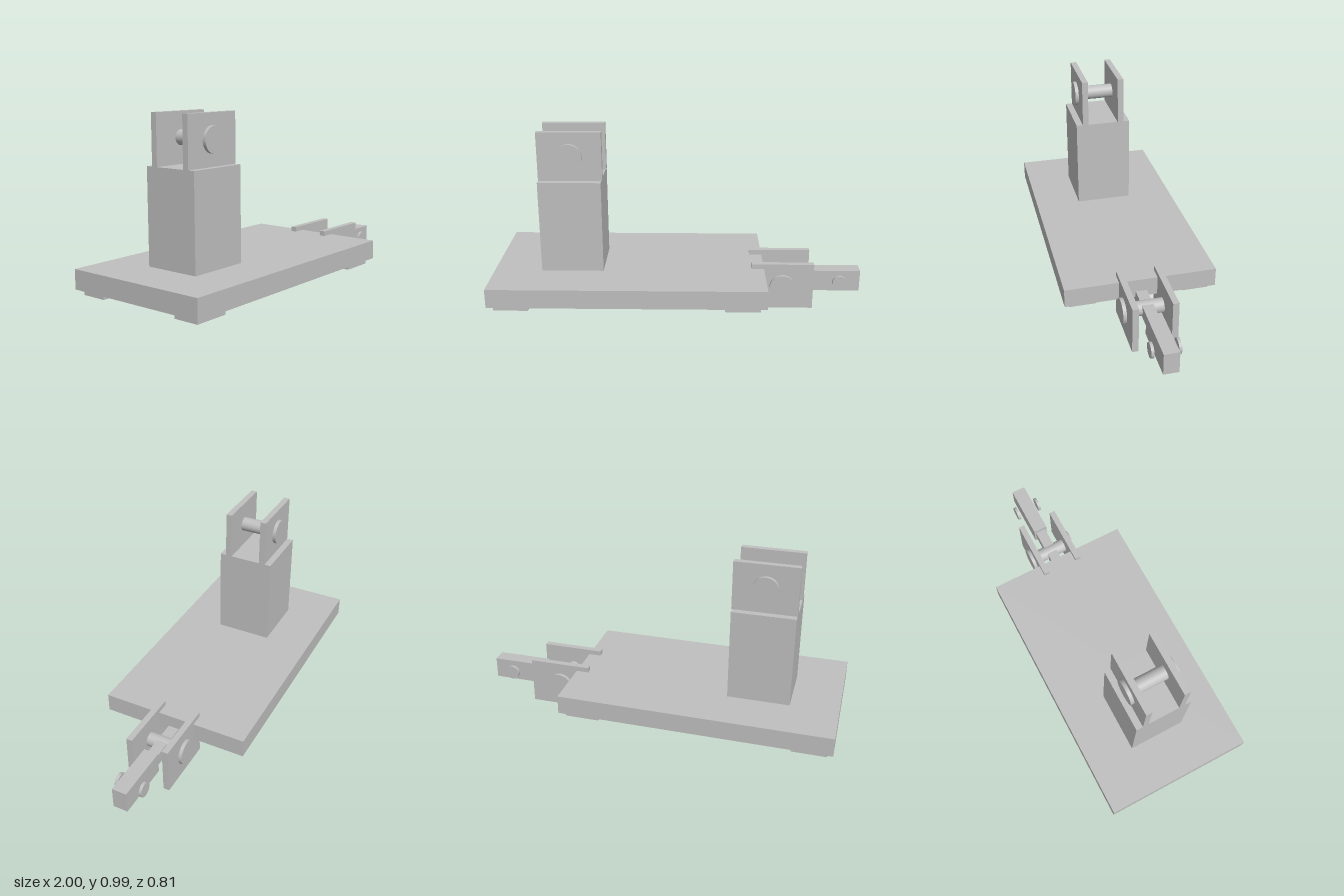
import * as THREE from 'three';

export function createModel() {
  const model = new THREE.Group();
  const grey = new THREE.MeshStandardMaterial({ color: 0xbfbfbf });
  grey.name = 'plain grey';

  const add = (name, geometry, x, y, z) => {
    const mesh = new THREE.Mesh(geometry, grey);
    mesh.name = name;
    mesh.position.set(x, y, z);
    model.add(mesh);
  };
  // box from its lower and upper limits
  const box = (name, x0, x1, y0, y1, z0, z1) =>
    add(name, new THREE.BoxGeometry(x1 - x0, y1 - y0, z1 - z0),
      (x0 + x1) / 2, (y0 + y1) / 2, (z0 + z1) / 2);
  // round bar lying along z
  const bar = (name, r, x, y, z0, z1) =>
    add(name, new THREE.CylinderGeometry(r, r, z1 - z0, 48).rotateX(Math.PI / 2),
      x, y, (z0 + z1) / 2);

  // Base plate and upright post
  box('basePlate', -1, 0.46, 0.132, 0.235, -0.405, 0.405);
  box('post', -0.743, -0.41, 0.235, 0.733, -0.155, 0.155);

  // Four feet
  for (const [x0, x1] of [[-0.97, -0.787], [0.245, 0.428]]) {
    box('frontFoot', x0, x1, 0.103, 0.132, 0.236, 0.376);
    box('backFoot', x0, x1, 0.103, 0.132, -0.376, -0.236);
  }

  // Forks: two cheek plates joined by a headed pin
  const fork = (name, x0, x1, y0, y1, px, py) => {
    for (const [z0, z1] of [[0.086, 0.119], [-0.119, -0.086]])
      box(name + 'Cheek', x0, x1, y0, y1, z0, z1);
    bar(name + 'Pin', 0.039, px, py, -0.1, 0.1);
    bar(name + 'FrontPinHead', 0.068, px, py, 0.119, 0.138);
    bar(name + 'BackPinHead', 0.068, px, py, -0.138, -0.119);
  };
  fork('postFork', -0.743, -0.405, 0.733, 0.994, -0.575, 0.865);
  fork('endFork', 0.392, 0.732, 0.003, 0.262, 0.561, 0.133);

  // Pull rod under the base, from the pivot disc to the end block
  bar('pivotDisc', 0.102, -0.575, 0.132, -0.036, 0.036);
  box('pullRod', -0.575, 0.7, 0.098, 0.165, -0.03, 0.03);
  box('endBlock', 0.694, 1, 0.073, 0.192, -0.04, 0.04);
  bar('endFrontButton', 0.04, 0.885, 0.133, 0.061, 0.076);
  bar('endBackButton', 0.04, 0.885, 0.133, -0.076, -0.061);

  return model;
}
